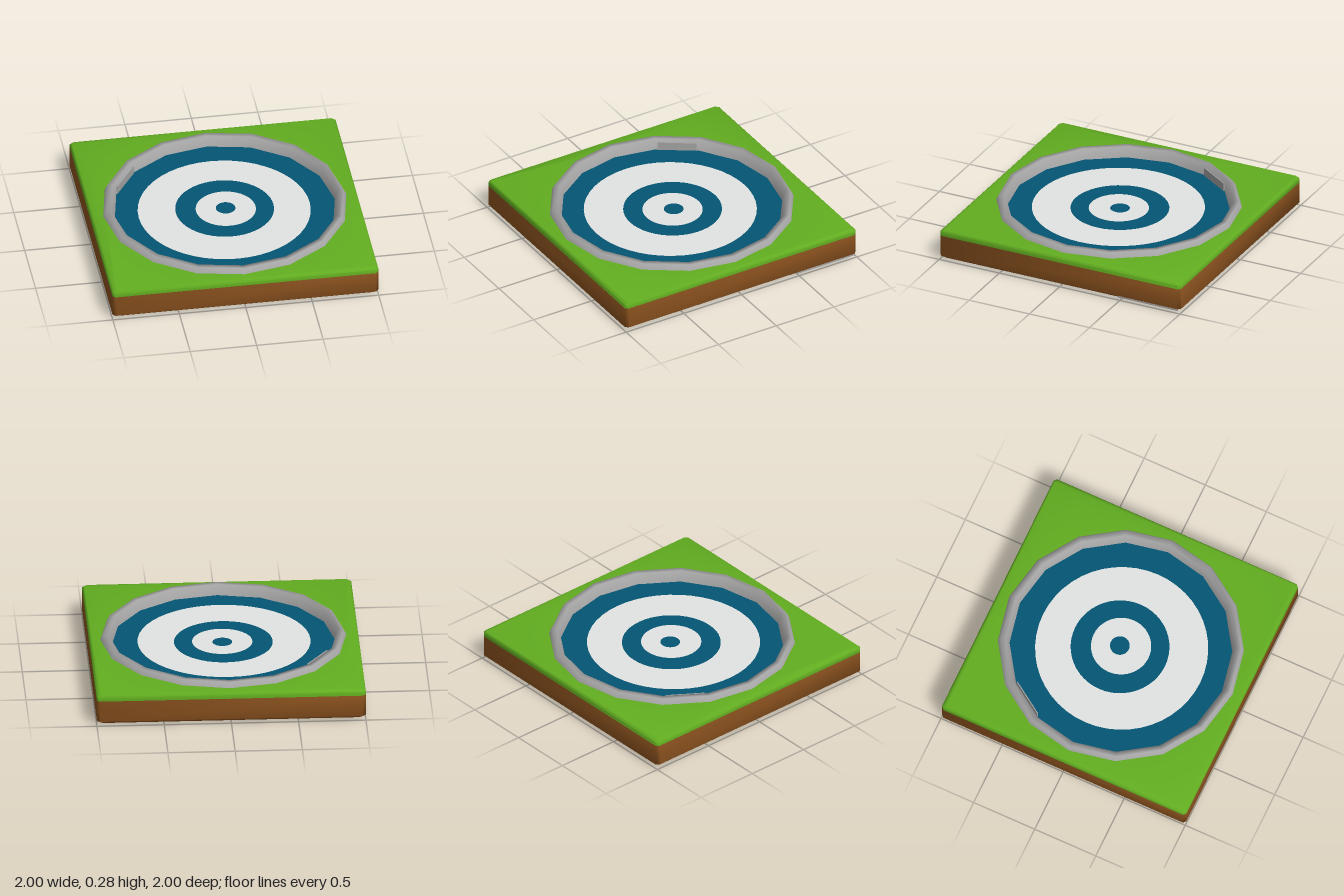
import * as THREE from 'three';
import { mergeGeometries, toCreasedNormals } from 'three/addons/utils/BufferGeometryUtils.js';

const material = (name, color) => {
  const m = new THREE.MeshStandardMaterial({ color });
  m.name = name;
  return m;
};

// Square outline with small chamfered corners
function outline(h) {
  const k = h - 0.02;
  return [[h, -k], [h, k], [k, h], [-k, h], [-h, k], [-h, -k], [-k, -h], [k, -h]];
}

// Side walls through square sections given as [half width, height], bottom to top
function squareWalls(levels) {
  const pos = [], index = [];
  levels.forEach(([h, y]) => outline(h).forEach(([x, z]) => pos.push(x, y, z)));
  for (let l = 0; l < levels.length - 1; l++) {
    for (let i = 0; i < 8; i++) {
      const a = l * 8 + i, b = l * 8 + (i + 1) % 8;
      index.push(a, a + 8, b, b, a + 8, b + 8);
    }
  }
  const geo = new THREE.BufferGeometry();
  geo.setAttribute('position', new THREE.Float32BufferAttribute(pos, 3));
  geo.setIndex(index);
  return geo;
}

// Flat square with a sixteen-sided hole, facing up or down
function squareWithHole([h, y], radius, up) {
  const shape = new THREE.Shape(outline(h).map(p => new THREE.Vector2(...p)));
  const hole = [];
  for (let i = 0; i < 16; i++) {
    const a = i * Math.PI / 8;
    hole.push(new THREE.Vector2(radius * Math.cos(a), radius * Math.sin(a)));
  }
  shape.holes.push(new THREE.Path(hole));
  const geo = new THREE.ShapeGeometry(shape);
  geo.rotateX(up ? -Math.PI / 2 : Math.PI / 2).translate(0, y, 0);
  geo.deleteAttribute('uv');
  geo.deleteAttribute('normal');
  return geo;
}

// Walls and flat face joined with softly rounded shading
const softLayer = (levels, face) =>
  toCreasedNormals(mergeGeometries([squareWalls(levels), face]), 1.15);

const lathe = points => new THREE.LatheGeometry(points.map(p => new THREE.Vector2(...p)), 16);

export function createModel() {
  const group = new THREE.Group();
  const grass = material('grass green', 0x62ae20);
  const dirt = material('dirt brown', 0x925620);
  const stone = material('rim grey', 0xa4a4a4);
  const blue = material('target blue', 0x045674);
  const white = material('target white', 0xe3e5e4);

  const add = (name, geo, mat, x = 0, y = 0, z = 0) => {
    const mesh = new THREE.Mesh(geo, mat);
    mesh.name = name;
    mesh.position.set(x, y, z);
    group.add(mesh);
    return mesh;
  };

  // Square block of earth with a grass layer, open through the middle
  const dirtLevels = [[0.93, 0], [0.97, 0.012], [1, 0.035], [1, 0.2]];
  const grassLevels = [[1, 0.2], [1, 0.23], [0.985, 0.245]];
  add('dirt', softLayer(dirtLevels, squareWithHole(dirtLevels[0], 0.905, false)), dirt);
  add('grass', softLayer(grassLevels, squareWithHole(grassLevels[2], 0.89, true)), grass);

  // Rounded rim, its underside and the wall of the well below it
  add('rim', lathe([[0.92, 0.235], [0.895, 0.285], [0.855, 0.285], [0.825, 0.2]]), stone, 0.005, 0, 0.005);
  add('rimUnderside', lathe([[0.85, 0.2], [0.905, 0.205]]).scale(1, -1, 1).translate(0, 0.405, 0)
    .setIndex(lathe([[0.85, 0.2], [0.905, 0.205]]).index), stone);
  add('wellWall', lathe([[0.905, 0.205], [0.905, 0]]), stone);

  // Flat plate on one inner facet of the rim
  const angle = Math.PI * 0.8125;
  const plate = add('rimPlate', new THREE.BoxGeometry(0.29, 0.068, 0.008), stone,
    0.805 * Math.cos(angle), 0.237, -0.805 * Math.sin(angle));
  plate.rotation.y = angle + Math.PI / 2;

  // Thin stone strip along one lower edge
  add('edgeStrip', new THREE.BoxGeometry(0.008, 0.012, 0.5), stone, 0.994, 0.026, -0.73);

  // Target of stacked thin discs, visible from both sides: radius, x, z
  const discs = [[0.86, 0.005, 0.005], [0.643, -0.001, 0.014], [0.367, 0.005, -0.002],
    [0.224, 0.013, 0.003], [0.073, 0.013, -0.007]];
  discs.forEach(([radius, x, z], i) => {
    const geo = new THREE.CylinderGeometry(radius, radius, 0.001 + 0.0018 * i, 48);
    add('targetDisc' + (i + 1), geo, i % 2 ? white : blue, x, 0.207, z);
  });
  return group;
}
